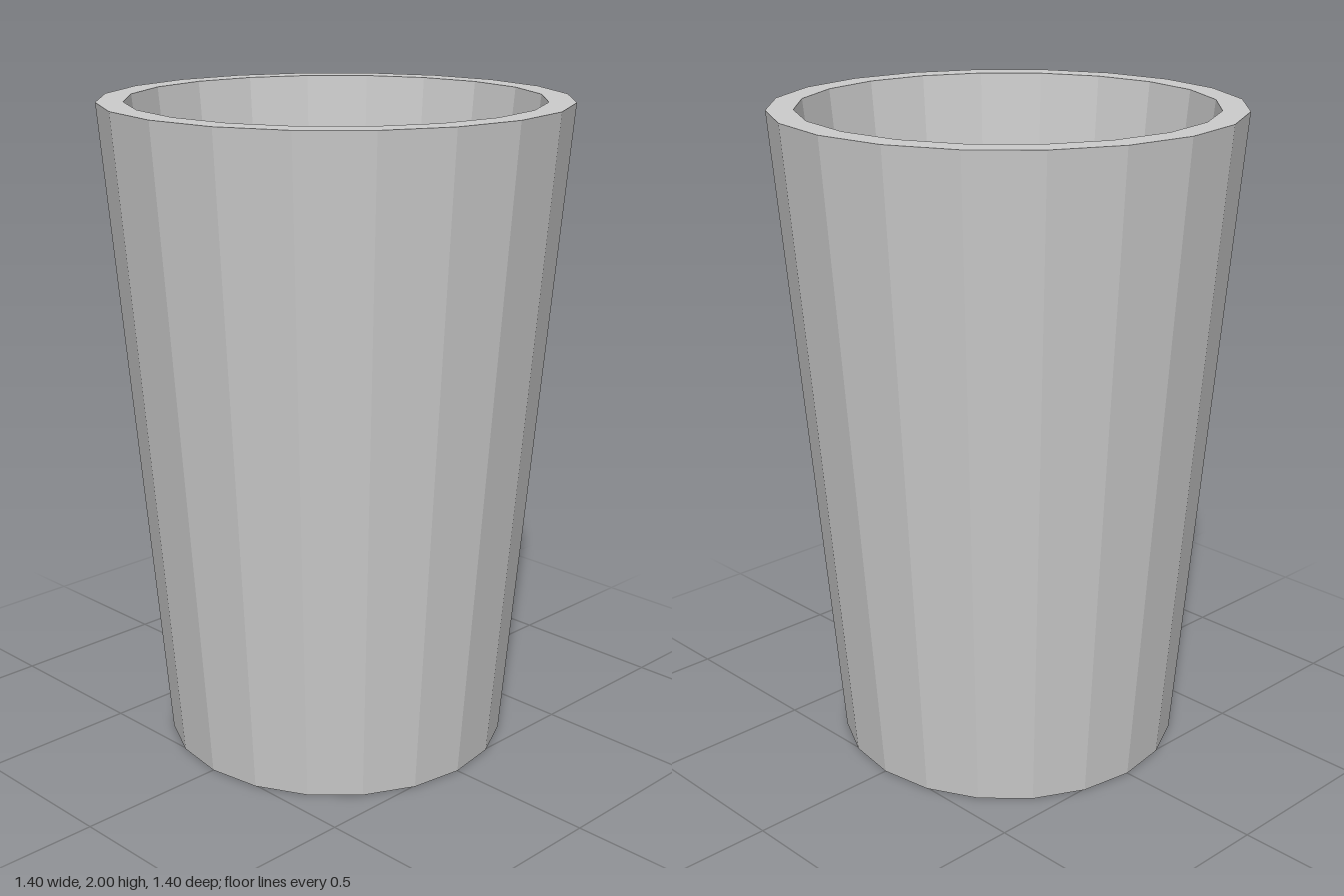
import * as THREE from 'three';

export function createModel() {
  const group = new THREE.Group();
  group.name = 'tumbler';

  // Closed cup profile: underside, outer wall, flat rim, inner wall, inner floor
  const profile = [
    [0, 0], [0.53, 0], [0.70, 2], [0.62, 2], [0.425, 0.1], [0, 0.1],
  ].map(([r, y]) => new THREE.Vector2(r, y));

  const cup = new THREE.Mesh(
    new THREE.LatheGeometry(profile, 20),
    new THREE.MeshStandardMaterial({ color: 0xcccccc, flatShading: true }),
  );
  cup.name = 'cup';
  group.add(cup);
  return group;
}
